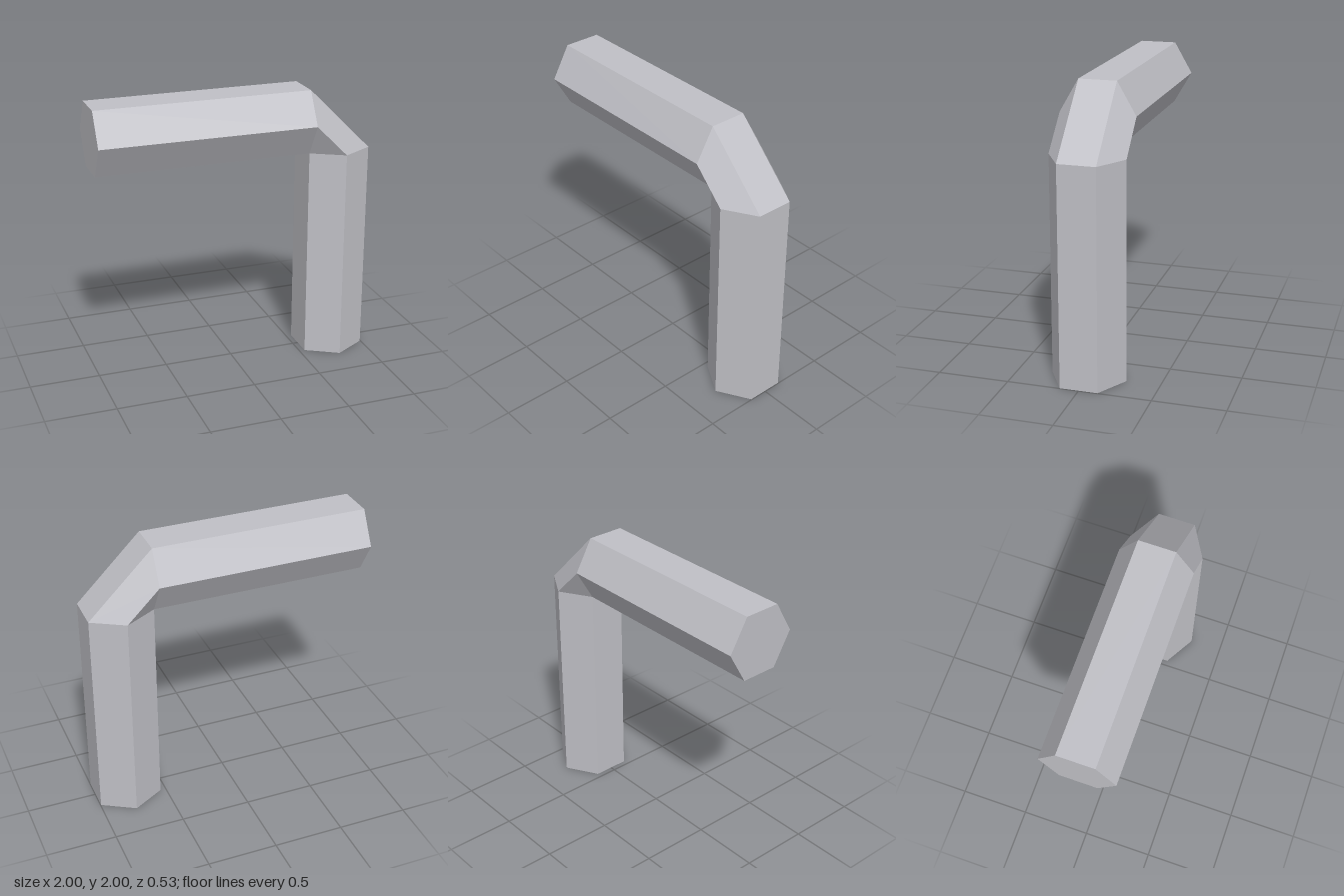
import * as THREE from 'three';

const INNER_X = 0.54, INNER_Y = 1.544; // inside corner of the bend
const FLAT = 0.228, RADIUS = 0.263;    // hexagon half-width and corner radius

// Hexagon corners as [u, z]; u is the distance out from the inside of the bend
const HEX = Array.from({ length: 6 }, (_, i) => {
  const a = Math.PI / 6 + (i * Math.PI) / 3;
  return [FLAT + RADIUS * Math.cos(a), RADIUS * Math.sin(a)];
});

// Cross-sections along the pipe
const armRing = (x) => HEX.map(([u, z]) => new THREE.Vector3(x, INNER_Y + u, z));
const legRing = (y) => HEX.map(([u, z]) => new THREE.Vector3(INNER_X + u, y, z));

// Straight-sided loft between two hexagons, with optional end caps
function loft(start, end, capStart, capEnd) {
  const pos = [];
  const tri = (...pts) => {
    if (new THREE.Triangle(...pts).getArea() > 1e-6) pts.forEach((p) => pos.push(p.x, p.y, p.z));
  };
  for (let i = 0; i < 6; i++) {
    const j = (i + 1) % 6;
    tri(start[i], start[j], end[j]);
    tri(start[i], end[j], end[i]);
  }
  for (let i = 1; i < 5; i++) {
    if (capStart) tri(start[0], start[i + 1], start[i]);
    if (capEnd) tri(end[0], end[i], end[i + 1]);
  }
  const geo = new THREE.BufferGeometry();
  geo.setAttribute('position', new THREE.Float32BufferAttribute(pos, 3));
  geo.computeVertexNormals();
  return geo;
}

export function createModel() {
  const group = new THREE.Group();
  group.name = 'hexagonalBentBar';
  const grey = new THREE.MeshStandardMaterial({ color: 0xc0c0c6 });
  grey.name = 'light grey';

  const add = (name, geo) => {
    const mesh = new THREE.Mesh(geo, grey);
    mesh.name = name;
    group.add(mesh);
  };

  // Horizontal arm, single-facet elbow and upright leg
  add('arm', loft(armRing(-1), armRing(INNER_X), true, false));
  add('elbow', loft(armRing(INNER_X), legRing(INNER_Y), false, false));
  add('leg', loft(legRing(INNER_Y), legRing(0), false, true));
  return group;
}
